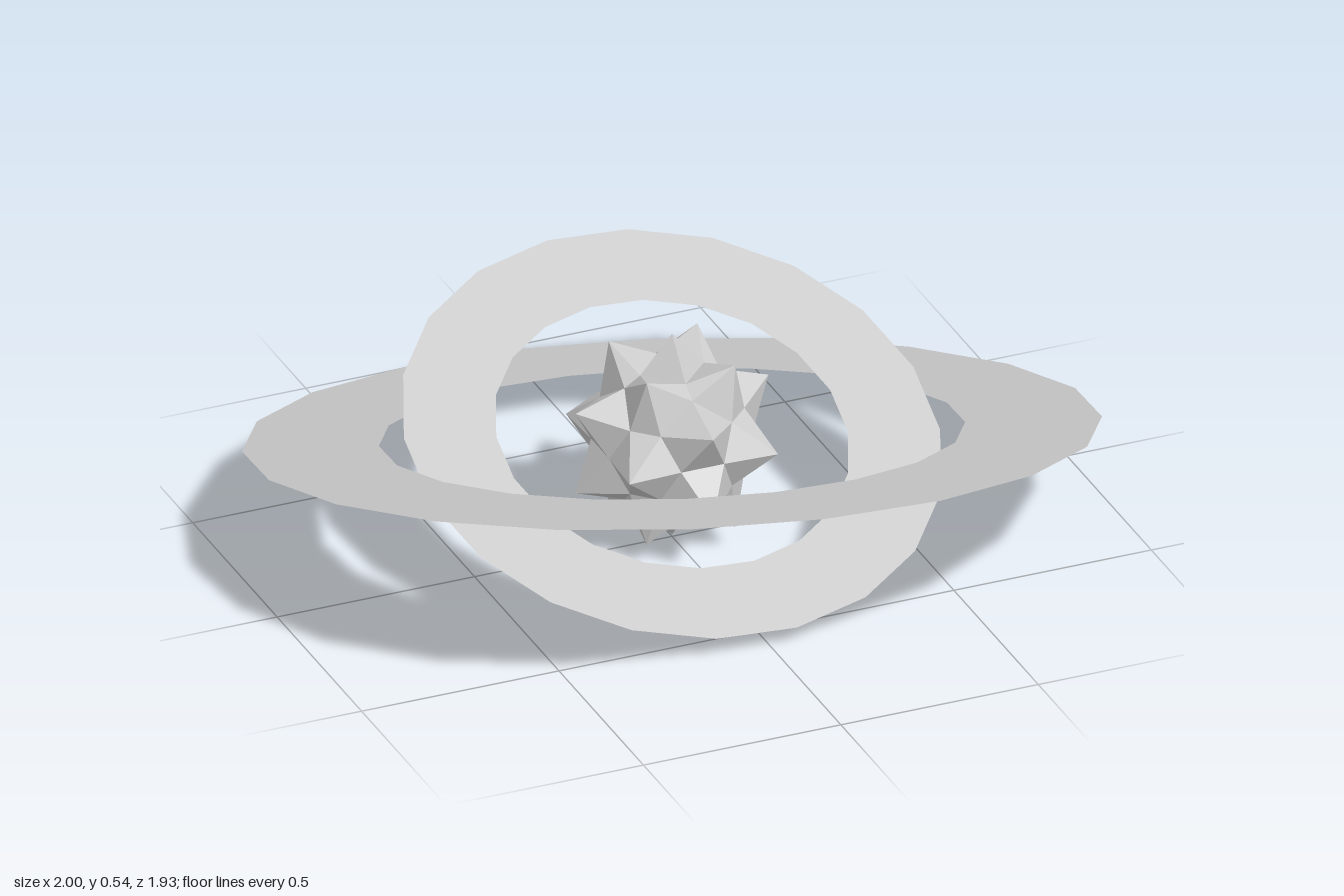
import * as THREE from 'three';

const CENTER_Y = 0.277;

// Flat 20-sided ring lying in the plane y = slopeX * x + slopeZ * z
function makeRing(name, inner, outer, phase, slopeX, slopeZ) {
  const geo = new THREE.RingGeometry(inner, outer, 20, 1, phase, Math.PI * 2);
  geo.rotateX(-Math.PI / 2);
  const normal = new THREE.Vector3(-slopeX, 1, -slopeZ).normalize();
  const mesh = new THREE.Mesh(geo, new THREE.MeshStandardMaterial({
    color: 0xcccccc, flatShading: true, side: THREE.DoubleSide,
  }));
  mesh.quaternion.setFromUnitVectors(new THREE.Vector3(0, 1, 0), normal);
  mesh.position.y = CENTER_Y;
  mesh.name = name;
  return mesh;
}

// Directions of the 22 evenly spread spikes, in rings of four
function spikeDirections() {
  const dirs = [new THREE.Vector3(0, 1, 0), new THREE.Vector3(0, -1, 0)];
  const rings = [[53.4, 45], [23.3, 0], [0, 45], [-23.3, 0], [-53.4, 45]];
  for (const [lat, turn] of rings) {
    for (let i = 0; i < 4; i++) {
      const polar = THREE.MathUtils.degToRad(90 - lat);
      const around = THREE.MathUtils.degToRad(turn + i * 90);
      dirs.push(new THREE.Vector3().setFromSphericalCoords(1, polar, around));
    }
  }
  return dirs;
}

// Ball of pyramids: tips on the outer sphere, valleys between every three neighbouring tips
function makeSpikyCore(tipRadius, valleyRadius) {
  const dirs = spikeDirections();
  const n = dirs.length;
  const edges = new Map(); // directed edge "a,b" -> valley point on its left
  const plane = new THREE.Plane();
  for (let a = 0; a < n; a++) for (let b = 0; b < n; b++) for (let c = 0; c < n; c++) {
    if (a === b || b === c || a === c || a > b || a > c) continue;
    plane.setFromCoplanarPoints(dirs[a], dirs[b], dirs[c]);
    if (!dirs.every((d) => plane.distanceToPoint(d) < 1e-6)) continue;
    const valley = plane.normal.clone().multiplyScalar(valleyRadius);
    for (const [i, j] of [[a, b], [b, c], [c, a]]) edges.set(`${i},${j}`, valley);
  }
  // Each directed edge gives one side of the pyramid at its starting tip
  const points = [];
  for (const [key, left] of edges) {
    const [i, j] = key.split(',').map(Number);
    const right = edges.get(`${j},${i}`);
    if (right) points.push(dirs[i].clone().multiplyScalar(tipRadius), right, left);
  }
  const geo = new THREE.BufferGeometry().setFromPoints(points);
  geo.computeVertexNormals();
  const mesh = new THREE.Mesh(geo, new THREE.MeshStandardMaterial({
    color: 0xcccccc, flatShading: true,
  }));
  mesh.position.y = CENTER_Y;
  mesh.name = 'spikyCore';
  return mesh;
}

export function createModel() {
  const group = new THREE.Group();
  group.name = 'ringedSpikyBall';
  const rad = THREE.MathUtils.degToRad;
  group.add(
    makeSpikyCore(0.266, 0.19),
    makeRing('outerRing', 0.684, 1.003, rad(-2.3), -0.08, 0.27),
    makeRing('innerRing', 0.42, 0.641, rad(5.8), -0.02, -0.382),
  );
  return group;
}
